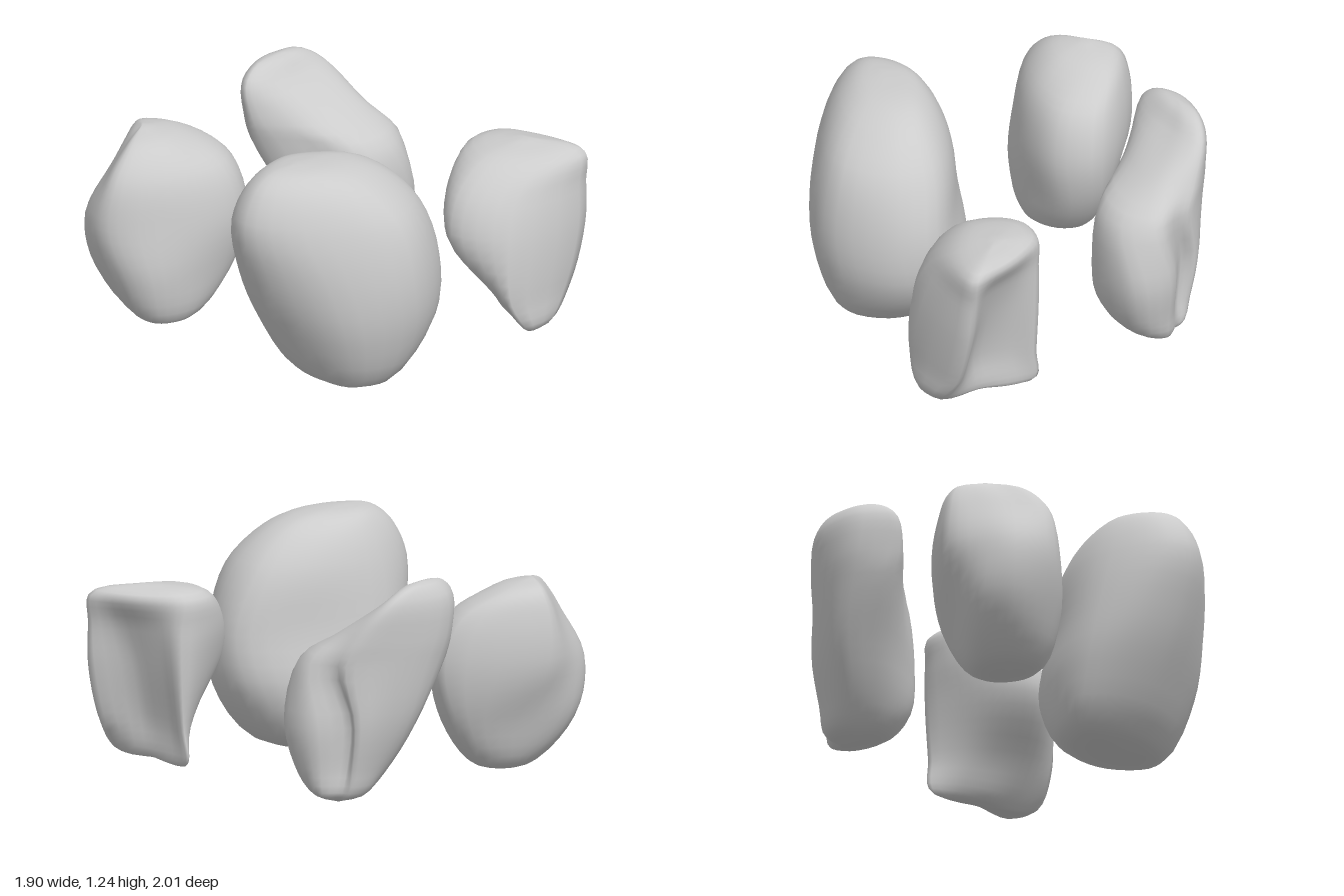
import * as THREE from 'three';
import { mergeVertices } from 'three/addons/utils/BufferGeometryUtils.js';

const SIDES = 32, ROWS = 28;

// Each rock: bottom and top points, and level sections [y, x, z, x, z ...]
// running left edge -> back -> right edge -> front.
const rocks = {
  largeRock: {
    bottom: [-0.42, 0.01, 0.48], top: [-0.59, 1.24, 0.42],
    sections: [
      [0.06, -0.57, 0.5, -0.5, 0.26, -0.38, 0.17, -0.2, 0.26, -0.12, 0.47, -0.17, 0.68, -0.34, 0.81, -0.51, 0.74],
      [0.35, -0.75, 0.43, -0.65, 0.18, -0.45, 0.08, -0.1, 0.24, 0.1, 0.52, 0.04, 0.78, -0.28, 0.96, -0.62, 0.82],
      [0.65, -0.88, 0.43, -0.78, 0.18, -0.5, 0.09, -0.09, 0.31, 0.13, 0.59, 0.02, 0.83, -0.31, 0.99, -0.7, 0.79],
      [0.95, -0.95, 0.41, -0.86, 0.22, -0.53, 0.14, -0.17, 0.29, 0.03, 0.54, -0.05, 0.77, -0.34, 0.92, -0.77, 0.68],
      [1.13, -0.88, 0.4, -0.79, 0.26, -0.53, 0.21, -0.28, 0.31, -0.13, 0.5, -0.18, 0.66, -0.42, 0.77, -0.73, 0.61],
      [1.215, -0.77, 0.4, -0.7, 0.32, -0.55, 0.28, -0.4, 0.35, -0.3, 0.46, -0.34, 0.56, -0.48, 0.61, -0.66, 0.54],
    ],
  },
  backRock: {
    bottom: [-0.53, 0.005, -0.6], top: [-0.52, 1.02, -0.79],
    sections: [
      [0.05, -0.71, -0.59, -0.65, -0.72, -0.52, -0.78, -0.4, -0.74, -0.32, -0.62, -0.37, -0.51, -0.52, -0.45, -0.67, -0.5],
      [0.3, -0.84, -0.62, -0.78, -0.88, -0.6, -0.96, -0.33, -0.82, -0.13, -0.6, -0.21, -0.43, -0.48, -0.39, -0.75, -0.47],
      [0.58, -0.9, -0.7, -0.81, -0.91, -0.63, -0.98, -0.39, -0.98, -0.06, -0.57, -0.2, -0.38, -0.48, -0.38, -0.79, -0.53],
      [0.83, -0.84, -0.69, -0.72, -0.82, -0.57, -0.92, -0.41, -0.98, -0.12, -0.62, -0.25, -0.45, -0.5, -0.45, -0.74, -0.56],
      [0.97, -0.7, -0.71, -0.61, -0.79, -0.52, -0.87, -0.42, -0.92, -0.3, -0.77, -0.35, -0.66, -0.5, -0.6, -0.64, -0.64],
    ],
  },
  bentRock: {
    bottom: [0.68, 0.015, -0.42], top: [0.38, 1.15, -0.73],
    sections: [
      [0.06, 0.45, -0.42, 0.53, -0.5, 0.63, -0.55, 0.72, -0.52, 0.73, -0.47, 0.79, -0.38, 0.72, -0.28, 0.52, -0.26, 0.45, -0.33],
      [0.2, 0.36, -0.48, 0.48, -0.61, 0.61, -0.61, 0.73, -0.55, 0.71, -0.49, 0.82, -0.37, 0.76, -0.2, 0.44, -0.18, 0.36, -0.3],
      [0.45, 0.27, -0.58, 0.43, -0.74, 0.6, -0.69, 0.75, -0.58, 0.71, -0.51, 0.85, -0.36, 0.78, -0.15, 0.44, -0.15, 0.34, -0.29],
      [0.74, 0.15, -0.68, 0.34, -0.82, 0.6, -0.73, 0.77, -0.54, 0.77, -0.45, 0.8, -0.3, 0.65, -0.17, 0.43, -0.2, 0.3, -0.4],
      [0.88, 0.11, -0.68, 0.29, -0.84, 0.56, -0.77, 0.73, -0.61, 0.73, -0.52, 0.68, -0.41, 0.56, -0.37, 0.37, -0.41, 0.2, -0.55],
      [1.05, 0.11, -0.71, 0.27, -0.83, 0.5, -0.8, 0.64, -0.71, 0.64, -0.66, 0.57, -0.62, 0.45, -0.61, 0.3, -0.61, 0.16, -0.65],
      [1.13, 0.21, -0.73, 0.3, -0.78, 0.42, -0.78, 0.52, -0.75, 0.53, -0.72, 0.49, -0.69, 0.41, -0.68, 0.33, -0.68, 0.24, -0.7],
    ],
  },
  wedgeRock: {
    bottom: [0.66, 0.1, 0.72], top: [0.76, 1.035, 0.68],
    sections: [
      [0.12, 0.56, 0.82, 0.61, 0.69, 0.68, 0.56, 0.78, 0.44, 0.76, 0.55, 0.7, 0.74, 0.67, 0.955, 0.51, 0.97],
      [0.3, 0.42, 0.81, 0.52, 0.64, 0.63, 0.52, 0.8, 0.45, 0.75, 0.58, 0.71, 0.78, 0.82, 0.96, 0.4, 0.96],
      [0.6, 0.25, 0.69, 0.37, 0.52, 0.58, 0.44, 0.82, 0.45, 0.79, 0.6, 0.79, 0.78, 0.92, 0.96, 0.4, 0.94],
      [0.82, 0.3, 0.66, 0.41, 0.48, 0.6, 0.4, 0.82, 0.45, 0.84, 0.6, 0.87, 0.8, 0.935, 0.95, 0.48, 0.9],
      [0.98, 0.48, 0.66, 0.53, 0.5, 0.64, 0.42, 0.8, 0.45, 0.89, 0.6, 0.94, 0.79, 0.935, 0.94, 0.67, 0.86],
    ],
  },
};

// Smooth skin: round each section, then run a curve up through every column
function rockGeometry({ bottom, top, sections }) {
  const rings = sections.map(([y, ...xz]) => {
    const corners = [];
    for (let i = 0; i < xz.length; i += 2) corners.push(new THREE.Vector3(xz[i], y, xz[i + 1]));
    const loop = new THREE.CatmullRomCurve3(corners, true);
    return Array.from({ length: SIDES }, (_, c) => loop.getPoint(c / SIDES));
  });
  const positions = [], index = [];
  for (let c = 0; c < SIDES; c++) {
    const column = new THREE.CatmullRomCurve3([
      new THREE.Vector3(...bottom), ...rings.map((ring) => ring[c]), new THREE.Vector3(...top),
    ]);
    for (let r = 0; r <= ROWS; r++) positions.push(...column.getPoint(r / ROWS).toArray());
  }
  const at = (c, r) => (c % SIDES) * (ROWS + 1) + r;
  for (let c = 0; c < SIDES; c++) {
    for (let r = 0; r < ROWS; r++) {
      const a = at(c, r), b = at(c + 1, r), d = at(c, r + 1), e = at(c + 1, r + 1);
      if (r > 0) index.push(a, d, b);
      if (r < ROWS - 1) index.push(b, d, e);
    }
  }
  const geometry = new THREE.BufferGeometry();
  geometry.setAttribute('position', new THREE.Float32BufferAttribute(positions, 3));
  geometry.setIndex(index);
  // Weld the points shared at the two ends
  const welded = mergeVertices(geometry, 1e-5);
  welded.computeVertexNormals();
  return welded;
}

export function createModel() {
  const group = new THREE.Group();
  group.name = 'rocks';
  const material = new THREE.MeshStandardMaterial({ color: 0xcccccc });
  for (const [name, shape] of Object.entries(rocks)) {
    const mesh = new THREE.Mesh(rockGeometry(shape), material);
    mesh.name = name;
    group.add(mesh);
  }
  return group;
}
